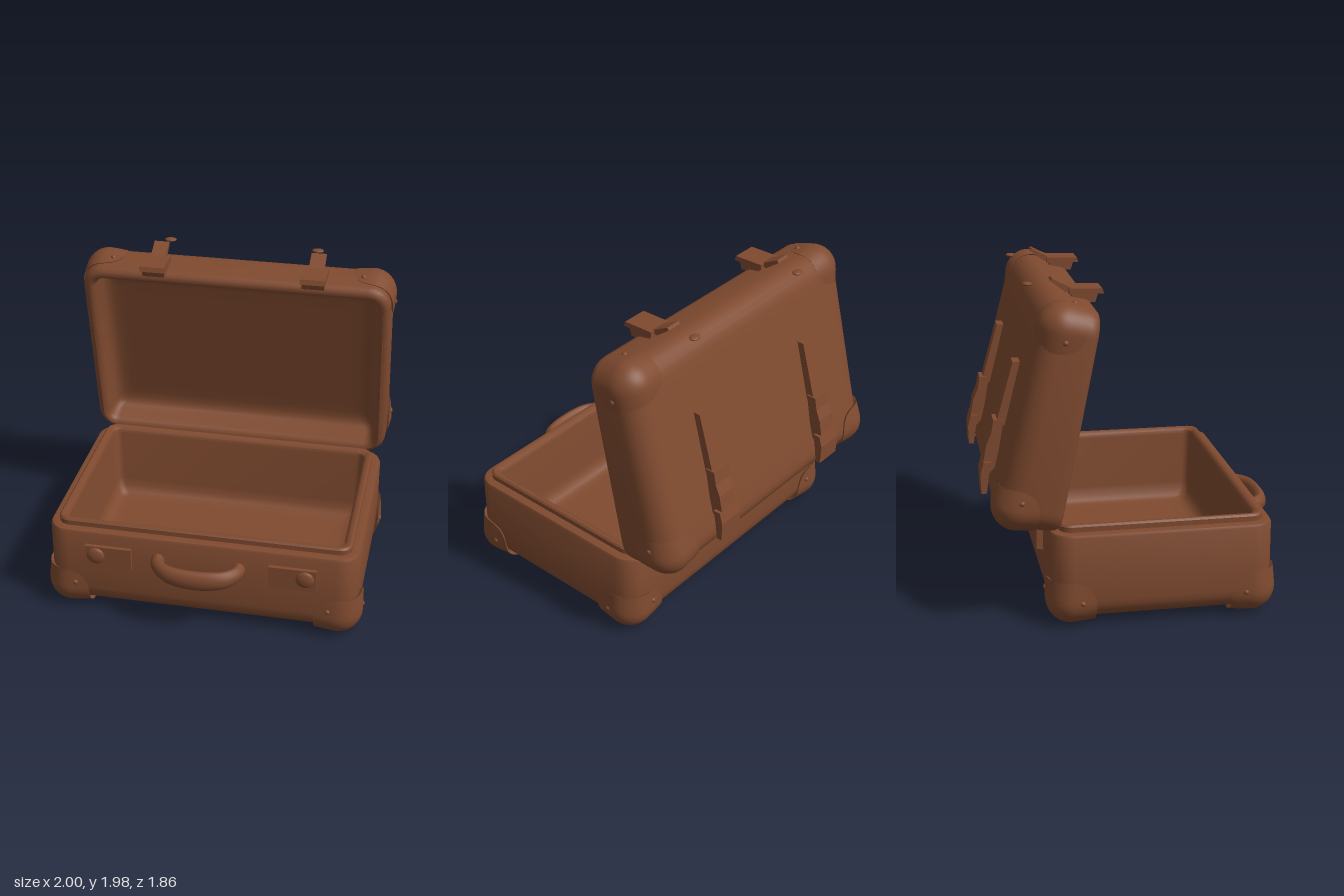
import * as THREE from 'three';
import { toCreasedNormals } from 'three/addons/utils/BufferGeometryUtils.js';

const leather = new THREE.MeshStandardMaterial({ color: 0x7f4a2f });
leather.name = 'brown leather';

function add(parent, name, geometry, x = 0, y = 0, z = 0) {
  const mesh = new THREE.Mesh(geometry, leather);
  mesh.name = name;
  mesh.position.set(x, y, z);
  parent.add(mesh);
  return mesh;
}

// Skin a list of closed rings of points
function skin(rings, flip = false) {
  const n = rings[0].length, index = [];
  for (let i = 0; i < rings.length - 1; i++) {
    for (let j = 0; j < n; j++) {
      const a = i * n + j, b = i * n + (j + 1) % n, c = a + n, d = b + n;
      if (flip) index.push(a, b, c, b, d, c);
      else index.push(a, c, b, b, c, d);
    }
  }
  const g = new THREE.BufferGeometry();
  g.setAttribute('position', new THREE.Float32BufferAttribute(rings.flat(2), 3));
  g.setIndex(index);
  return toCreasedNormals(g, 0.7);
}

// Rounded rectangle ring, shrunk by inset
function ring(hx, hz, inset, y, r0) {
  const r = Math.min(Math.max(0.05, r0 - inset), hz - inset);
  const cx = hx - inset - r, cz = hz - inset - r, points = [];
  for (let q = 0; q < 4; q++) {
    const sx = q === 0 || q === 3 ? 1 : -1, sz = q < 2 ? 1 : -1;
    for (let k = 0; k <= 6; k++) {
      const a = (q + k / 6) * Math.PI / 2;
      points.push([sx * cx + r * Math.cos(a), y, sz * cz + r * Math.sin(a)]);
    }
  }
  return points;
}

// Hollow tray: rounded outer edge, then a rim and interior profile [inset, y], then a flat floor
function tray(hx, hz, bottom, r, profile) {
  const outer = [[hz, bottom], [0.25, bottom]];
  for (let k = 0; k <= 6; k++) {
    const a = k / 6 * Math.PI / 2;
    outer.push([r - r * Math.sin(a), bottom + r - r * Math.cos(a)]);
  }
  const floor = profile[profile.length - 1][1];
  return skin([...outer, ...profile, [0.3, floor], [hz, floor]].map(([inset, y]) => ring(hx, hz, inset, y, r)));
}

// Domed corner guard wrapping a rounded box corner, with two rivets
function cornerGuard(parent, x, y, z, sx, sy, sz, reach) {
  const group = new THREE.Group();
  group.name = 'cornerGuard';
  group.position.set(x, y, z);
  parent.add(group);
  const axis = new THREE.Vector3(1, 1, 1).normalize();
  const u = new THREE.Vector3(1, -1, 0).normalize();
  const v = axis.clone().cross(u);
  const place = (d, R) => {
    const t = R / Math.hypot(Math.max(d.x, 0), Math.max(d.y, 0), Math.max(d.z, 0));
    return [sx * d.x * t, sy * d.y * t, sz * d.z * t];
  };
  const rings = [], steps = 12;
  for (let i = 0; i <= steps + 1; i++) {
    const f = Math.min(i / steps, 1), points = [];
    const R = i > steps ? 0.12 : 0.163 - 0.016 * f * f;
    for (let j = 0; j < 48; j++) {
      const b = j / 48 * Math.PI * 2;
      // wider over the three faces than along the edges, for a rounded outline
      const alpha = 0.001 + f * reach * (1.49 + 0.17 * Math.sin(3 * b));
      const d = axis.clone().multiplyScalar(Math.cos(alpha))
        .addScaledVector(u, Math.sin(alpha) * Math.cos(b))
        .addScaledVector(v, Math.sin(alpha) * Math.sin(b));
      points.push(place(d, R));
    }
    rings.push(points);
  }
  add(group, 'guard', skin(rings, sx * sy * sz < 0));
  for (const d of [[1, 0, -0.3], [-0.3, -0.3, 1]]) {
    add(group, 'rivet', new THREE.SphereGeometry(0.018, 12, 8), ...place(new THREE.Vector3(...d), 0.146));
  }
}

// Side outline [z, y] extruded across x
function ribbon(parent, name, outline, width, x) {
  const shape = new THREE.Shape(outline.map(([z, y]) => new THREE.Vector2(z, y)));
  const g = new THREE.ExtrudeGeometry(shape, { depth: width, bevelEnabled: false });
  g.translate(0, 0, -width / 2).rotateY(-Math.PI / 2);
  add(parent, name, g, x);
}

export function createModel() {
  const model = new THREE.Group();
  model.name = 'suitcase';

  // Lower case
  const base = new THREE.Group();
  base.name = 'base';
  base.position.z = 0.09;
  model.add(base);
  add(base, 'baseShell', tray(0.96, 0.66, 0.05, 0.13, [
    [0, 0.57], [0.008, 0.585], [0.025, 0.59], [0.055, 0.59], [0.055, 0.62], [0.065, 0.631],
    [0.085, 0.631], [0.105, 0.615], [0.11, 0.59], [0.12, 0.24], [0.128, 0.19], [0.15, 0.15], [0.18, 0.135], [0.22, 0.13],
  ]));

  // Open lid: built as a tray, leaning back, slightly deeper at the hinge side
  const lid = new THREE.Group();
  lid.name = 'lid';
  lid.position.set(0, 1.226, -0.392);
  lid.rotation.x = THREE.MathUtils.degToRad(101.3);
  model.add(lid);
  const deepen = z => 1 + 0.1 * z / 0.65;
  const shell = tray(0.975, 0.657, -0.36, 0.14, [
    [0, -0.06], [0.005, -0.03], [0.02, -0.01], [0.042, 0], [0.06, -0.006], [0.073, -0.022],
    [0.08, -0.045], [0.09, -0.11], [0.1, -0.14], [0.12, -0.16], [0.15, -0.172], [0.2, -0.175],
  ]);
  const p = shell.attributes.position;
  for (let i = 0; i < p.count; i++) p.setY(i, p.getY(i) * deepen(p.getZ(i)));
  add(lid, 'lidShell', toCreasedNormals(shell, 0.7));

  // Guards on the outer corners of both halves
  for (const sx of [-1, 1]) {
    for (const sz of [-1, 1]) {
      cornerGuard(base, sx * 0.83, 0.175, sz * 0.53, sx, -1, sz, 1);
      cornerGuard(lid, sx * 0.837, -0.36 * deepen(sz * 0.65) + 0.14, sz * 0.517, sx, -1, sz, 0.95);
    }
  }

  // Carrying handle
  const path = [[-0.25, 0.73], [-0.24, 0.8], [-0.17, 0.865], [0, 0.89], [0.17, 0.865], [0.24, 0.8], [0.25, 0.73]];
  const curve = new THREE.CatmullRomCurve3(path.map(([x, z]) => new THREE.Vector3(x - 0.01, 0, z)));
  const grip = new THREE.TubeGeometry(curve, 40, 0.041, 14);
  const gp = grip.attributes.position;
  for (let i = 0; i < gp.count; i++) {
    const f = 1 - Math.min(1, (gp.getX(i) / 0.29) ** 2);
    gp.setY(i, gp.getY(i) * (1.1 + 0.45 * f) - 0.02 * f);
  }
  grip.computeVertexNormals();
  add(model, 'handle', grip, 0, 0.445, 0);

  for (const s of [-1, 1]) {
    // Front lock plates with round knobs
    add(model, 'lockPlate', new THREE.BoxGeometry(0.29, 0.145, 0.05), s * 0.568, 0.43, 0.75);
    const knob = add(model, 'lockKnob', new THREE.SphereGeometry(0.056, 20, 12), s * 0.645, 0.44, 0.775);
    knob.scale.z = 0.4;

    // Hasps on the top edge of the lid
    const x = s * 0.5;
    ribbon(model, 'haspBody', [[-0.25, 1.86], [-0.23, 1.92], [-0.38, 1.935], [-0.39, 1.87]], 0.14, x);
    ribbon(model, 'haspPlate', [[-0.2, 1.91], [-0.21, 1.94], [-0.4, 1.945], [-0.4, 1.91]], 0.155, x);
    ribbon(model, 'haspTongue', [[-0.37, 1.92], [-0.39, 1.945], [-0.495, 2], [-0.505, 1.985], [-0.42, 1.92]], 0.095, x);
    const stud = add(model, 'haspStud', new THREE.SphereGeometry(0.038, 16, 8), s * 0.475, 1.96, -0.63);
    stud.scale.set(1, 0.3, 0.75);

    // Buckled straps on the back of the lid
    ribbon(model, 'strap', [[-0.67, 1.52], [-0.73, 1.52], [-0.835, 1.15], [-0.77, 1.14]], 0.11, s * 0.49);
    ribbon(model, 'strapLoop', [
      [-0.79, 1.18], [-0.85, 1.18], [-0.865, 1.1], [-0.895, 1.03], [-0.92, 0.9], [-0.9, 0.84], [-0.84, 0.9],
    ], 0.13, s * 0.49);
    ribbon(model, 'buckle', [
      [-0.87, 0.93], [-0.915, 0.93], [-0.935, 0.86], [-0.932, 0.74], [-0.9, 0.74], [-0.885, 0.85],
    ], 0.17, s * 0.49);

    // Hinges joining the two halves
    ribbon(model, 'hinge', [
      [-0.56, 0.35], [-0.61, 0.36], [-0.61, 0.5], [-0.64, 0.55], [-0.76, 0.565], [-0.76, 0.59],
      [-0.6, 0.595], [-0.565, 0.57],
    ], 0.11, s * 0.49);
  }
  return model;
}
